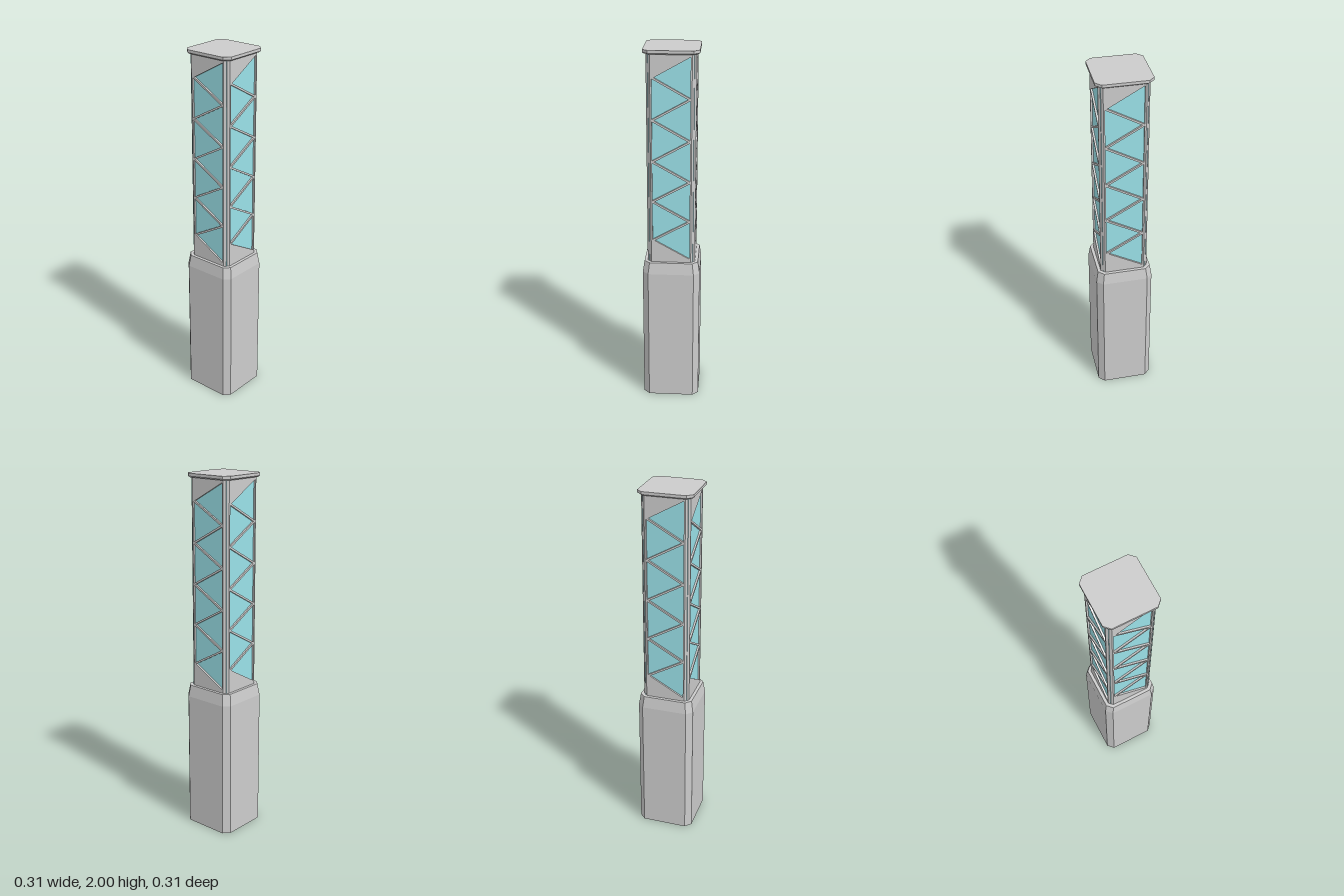
import * as THREE from 'three';

const grey = new THREE.MeshStandardMaterial({ color: 0xcccccc, flatShading: true });
const glass = new THREE.MeshStandardMaterial({ color: 0x9ae1e8, flatShading: true });

function add(parent, name, geometry, material = grey) {
  const mesh = new THREE.Mesh(geometry, material);
  mesh.name = name;
  parent.add(mesh);
  return mesh;
}

// Closed solid through square sections with cut corners: [y, half width, half flat side]
function chamferedLoft(sections) {
  const rings = sections.map(([y, h, c]) =>
    [[h, -c], [h, c], [c, h], [-c, h], [-h, c], [-h, -c], [-c, -h], [c, -h]].map(([x, z]) => [x, y, z]));
  const pos = [];
  const tri = (...corners) => corners.forEach((p) => pos.push(...p));
  const last = rings.length - 1;
  for (let i = 0; i < 8; i++) {
    const j = (i + 1) % 8;
    for (let k = 0; k < last; k++) {
      const [lo, hi] = [rings[k], rings[k + 1]];
      tri(lo[i], hi[i], hi[j]);
      tri(lo[i], hi[j], lo[j]);
    }
    tri([0, sections[0][0], 0], rings[0][i], rings[0][j]);
    tri([0, sections[last][0], 0], rings[last][j], rings[last][i]);
  }
  const geometry = new THREE.BufferGeometry();
  geometry.setAttribute('position', new THREE.Float32BufferAttribute(pos, 3));
  geometry.computeVertexNormals();
  return geometry;
}

const shape = (points) => new THREE.Shape(points.map(([x, y]) => new THREE.Vector2(x, y)));

// Shaft dimensions
const Y0 = 0.83, Y1 = 1.985, HALF = 0.13, FLAT = 0.108, INNER = 0.12;

// Face plate pierced by a zigzag row of triangular windows
function latticeGeometry() {
  const plate = shape([[-FLAT, Y0], [FLAT, Y0], [FLAT, Y1], [-FLAT, Y1]]);
  const w = 0.1, top = 1.971, step = 0.1122, bar = 0.006;
  for (let i = 0; i < 9; i++) {
    const side = i % 2 ? -1 : 1;
    const y = top - i * step;
    const hole = [
      [side * w, y - bar],
      [-side * (w - bar * 2 * w / step), y - step],
      [side * w, y - 2 * step + bar],
    ];
    plate.holes.push(new THREE.Path(hole.map(([x, v]) => new THREE.Vector2(x, v))));
  }
  return new THREE.ExtrudeGeometry(plate, { depth: HALF - INNER, bevelEnabled: false })
    .translate(0, 0, INNER);
}

// Corner post filling the bevelled edge between two plates
function postGeometry() {
  const outline = shape([[FLAT, -HALF], [HALF, -FLAT], [INNER, -FLAT], [FLAT, -INNER]]);
  return new THREE.ExtrudeGeometry(outline, { depth: Y1 - Y0, bevelEnabled: false })
    .rotateX(-Math.PI / 2).translate(0, Y0, 0);
}

export function createModel() {
  const model = new THREE.Group();
  model.name = 'tower';

  // Heavy base with sloped shoulder
  add(model, 'base', chamferedLoft([[0, 0.157, 0.125], [0.77, 0.157, 0.125], [0.835, 0.147, 0.117]]));

  // Glazed core behind the lattice
  add(model, 'glassCore', new THREE.BoxGeometry(2 * INNER, Y1 - Y0, 2 * INNER)
    .translate(0, (Y0 + Y1) / 2, 0), glass);

  // Four identical lattice faces and corner posts
  const lattice = latticeGeometry();
  const post = postGeometry();
  for (let i = 0; i < 4; i++) {
    const side = new THREE.Group();
    side.name = 'shaftSide';
    side.rotation.y = i * Math.PI / 2;
    add(side, 'latticeFace', lattice);
    add(side, 'cornerPost', post);
    model.add(side);
  }

  // Flat roof cap
  add(model, 'cap', chamferedLoft([[1.978, 0.138, 0.112], [1.985, 0.147, 0.117], [2, 0.147, 0.117]]));
  return model;
}
